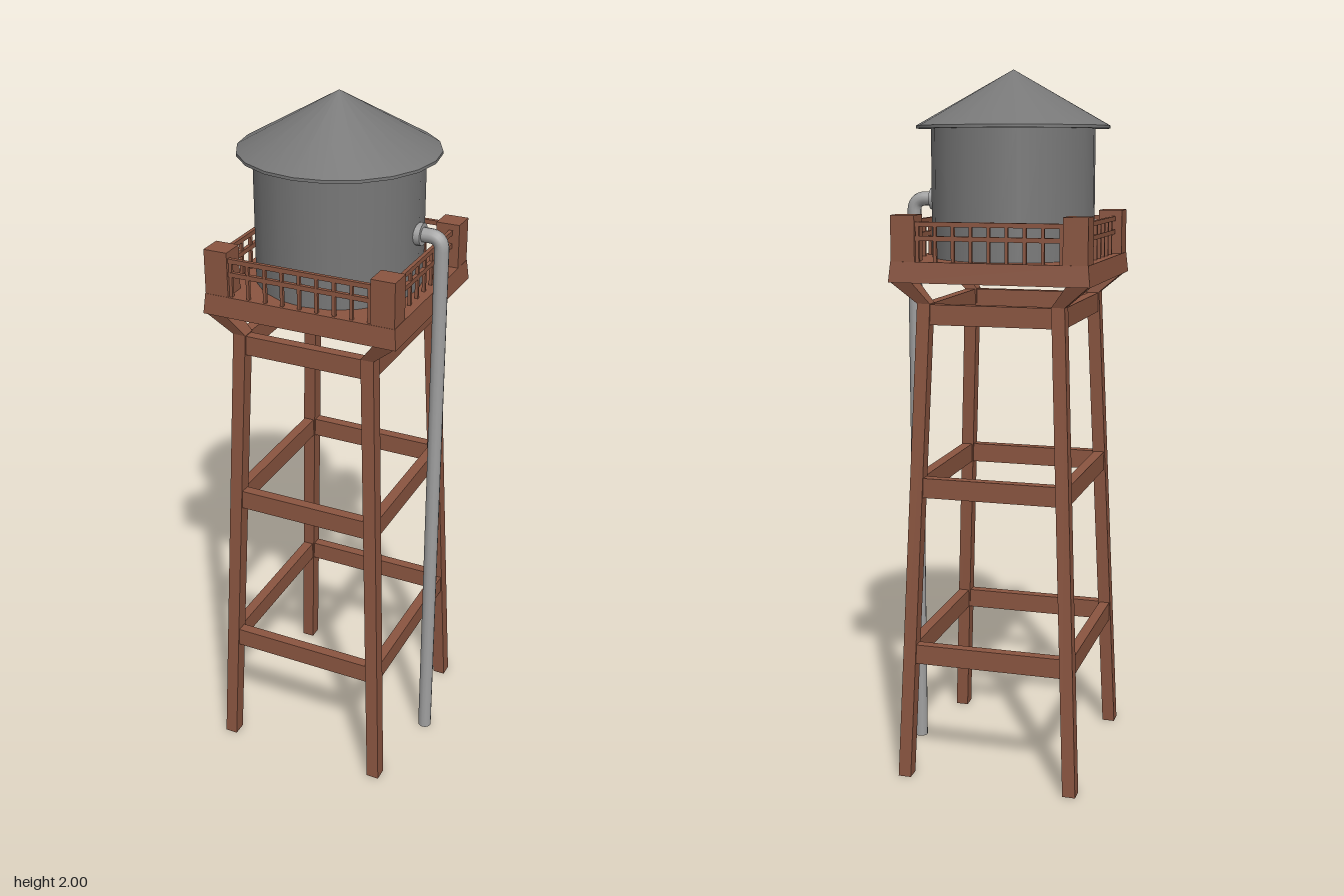
import * as THREE from 'three';

const CX = -0.018; // the tower sits slightly off centre to make room for the pipe
const paint = (color) => new THREE.MeshStandardMaterial({ color, roughness: 0.8 });

// Square bar between two horizontal rectangles: [x, y, z, width, depth]
function taperedBar(a, b) {
  const geo = new THREE.BoxGeometry(1, 1, 1);
  const p = geo.attributes.position;
  for (let i = 0; i < p.count; i++) {
    const [x, y, z, w, d] = p.getY(i) < 0 ? a : b;
    p.setXYZ(i, x + p.getX(i) * w, y, z + p.getZ(i) * d);
  }
  geo.computeVertexNormals();
  return geo;
}

export function createModel() {
  const model = new THREE.Group();
  const tower = new THREE.Group();
  tower.name = 'tower';
  tower.position.x = CX;
  model.add(tower);

  const wood = paint(0x8a5540);
  const tankMetal = paint(0x777777);
  const pipeMetal = paint(0xa0a0a0);

  const add = (parent, name, geo, mat, x = 0, y = 0, z = 0) => {
    const mesh = new THREE.Mesh(geo, mat);
    mesh.name = name;
    mesh.position.set(x, y, z);
    parent.add(mesh);
    return mesh;
  };
  const box = (name, w, h, d, x, y, z) =>
    add(tower, name, new THREE.BoxGeometry(w, h, d), wood, x, y, z);

  // Leg centre line, leaning inwards with height
  const legTop = 1.37;
  const legX = (y) => THREE.MathUtils.lerp(0.244, 0.189, y / legTop);
  const legZ = (y) => THREE.MathUtils.lerp(0.274, 0.217, y / legTop);

  // Corners: leg, flared strut under the deck, and railing post
  for (const sx of [-1, 1]) {
    for (const sz of [-1, 1]) {
      const top = [sx * legX(legTop), legTop, sz * legZ(legTop), 0.037, 0.04];
      add(tower, 'leg', taperedBar([sx * legX(0), 0, sz * legZ(0), 0.037, 0.04], top), wood);
      add(tower, 'cornerStrut', taperedBar(top, [sx * 0.249, 1.432, sz * 0.23, 0.062, 0.06]), wood);
      box('railingPost', 0.068, 0.16, 0.068, sx * 0.24, 1.53, sz * 0.224);
    }
  }

  // Three rings of cross beams
  for (const y of [0.37, 0.855, 1.34]) {
    for (const s of [-1, 1]) {
      box('crossBeamX', 2 * legX(y), 0.056, 0.03, 0, y, s * legZ(y));
      box('crossBeamZ', 0.03, 0.056, 2 * legZ(y), s * legX(y), y, 0);
    }
  }

  // Deck
  add(tower, 'deck', taperedBar([0, 1.428, 0, 0.562, 0.528], [0, 1.485, 0, 0.55, 0.518]), wood);

  // Railing: two rails and a row of balusters on each side
  const railX = 0.249, railZ = 0.247;
  for (const s of [-1, 1]) {
    for (const y of [1.548, 1.586]) {
      box('railX', 0.43, 0.013, 0.011, 0, y, s * railZ);
      box('railZ', 0.011, 0.013, 0.4, s * railX, y, 0);
    }
    for (let i = -4; i <= 4; i++) {
      box('balusterX', 0.009, 0.11, 0.009, i * 0.05, 1.534, s * railZ);
      if (Math.abs(i) < 4) box('balusterZ', 0.009, 0.11, 0.009, s * railX, 1.534, i * 0.05);
    }
  }

  // Tank and conical roof with a thin rim
  add(tower, 'tank', new THREE.CylinderGeometry(0.23, 0.23, 0.37, 20), tankMetal, 0, 1.665, 0);
  add(tower, 'roofRim', new THREE.CylinderGeometry(0.272, 0.272, 0.008, 20), tankMetal, 0, 1.844, 0);
  add(tower, 'roof', new THREE.ConeGeometry(0.272, 0.152, 20, 1, true), tankMetal, 0, 1.924, 0);

  // Drain pipe: out of the tank, round a bend and down to the ground
  const pipeX = 0.278, pipeY = 1.645, bend = 0.035, r = 0.02;
  const path = new THREE.CurvePath();
  const v = (x, y) => new THREE.Vector3(x, y, 0);
  path.add(new THREE.LineCurve3(v(0.19, pipeY), v(pipeX - bend, pipeY)));
  path.add(new THREE.QuadraticBezierCurve3(v(pipeX - bend, pipeY), v(pipeX, pipeY), v(pipeX, pipeY - bend)));
  const pipe = new THREE.Group();
  pipe.name = 'drainPipe';
  model.add(pipe);
  add(pipe, 'pipeElbow', new THREE.TubeGeometry(path, 16, r, 12), pipeMetal);
  const drop = pipeY - bend;
  add(pipe, 'downPipe', new THREE.CylinderGeometry(r, r, drop, 12), pipeMetal, pipeX, drop / 2, 0);
  add(pipe, 'pipeFlange', new THREE.CylinderGeometry(0.031, 0.031, 0.02, 16), pipeMetal, 0.215, pipeY, 0)
    .rotation.z = Math.PI / 2;

  return model;
}
